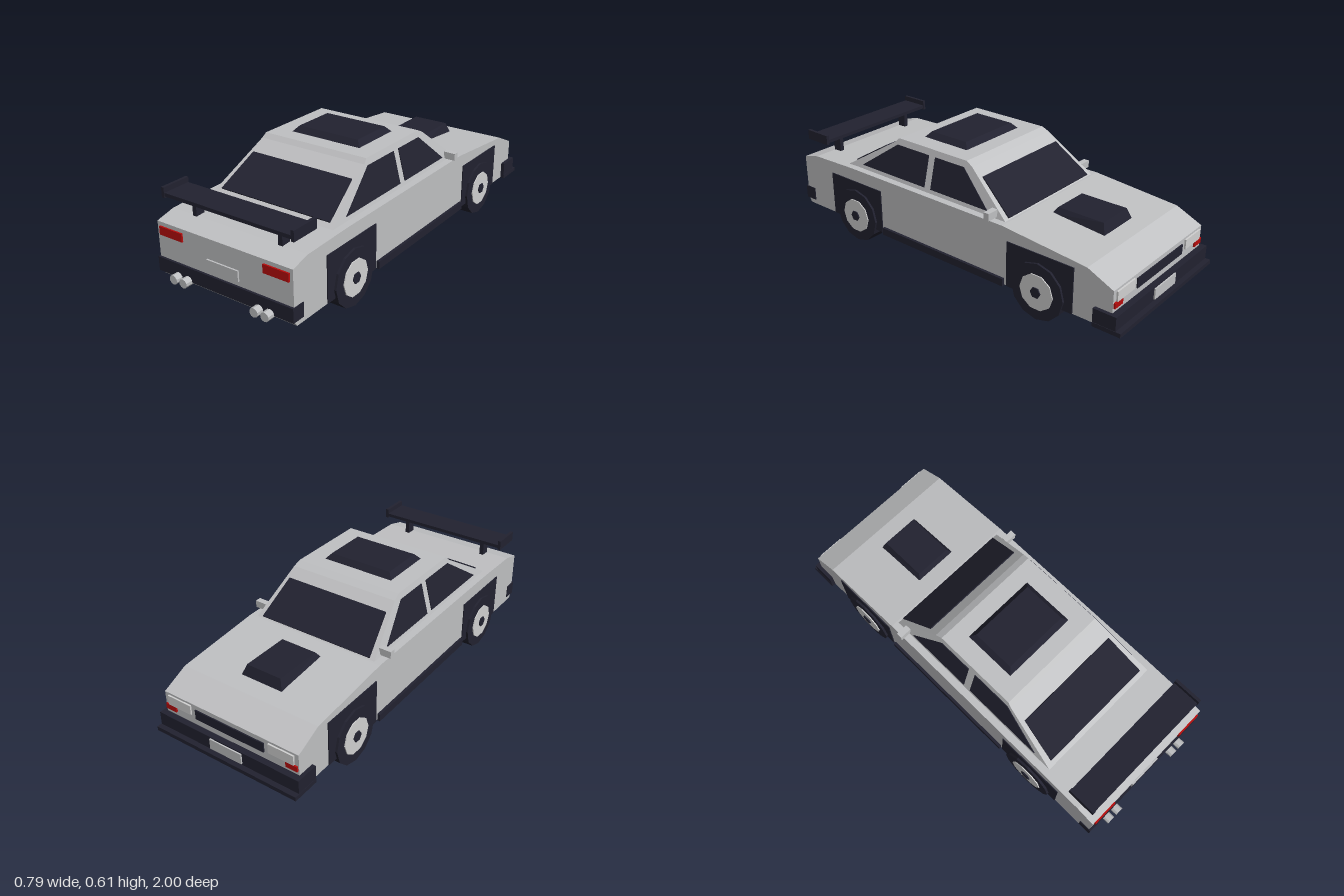
import * as THREE from 'three';

const mat = (name, color) => Object.assign(new THREE.MeshStandardMaterial({ color, flatShading: true }), { name });

export function createModel() {
  const car = new THREE.Group();
  car.name = 'car';
  const silver = mat('silver paint', 0xc0c1c3);
  const dark = mat('dark trim', 0x222230);
  const red = mat('red lamp', 0xb80c0c);
  const pale = mat('pale rim', 0xd2d2d2);

  const add = (name, geo, material) => {
    const m = new THREE.Mesh(geo, material);
    m.name = name;
    car.add(m);
    return m;
  };
  // Box given by its limits on each axis
  const box = (name, material, x0, x1, y0, y1, z0, z1) =>
    add(name, new THREE.BoxGeometry(x1 - x0, y1 - y0, z1 - z0), material)
      .position.set((x0 + x1) / 2, (y0 + y1) / 2, (z0 + z1) / 2);
  const pair = (name, material, x0, x1, ...rest) => {
    box(name, material, x0, x1, ...rest);
    box(name, material, -x1, -x0, ...rest);
  };
  // Side profile of [z, y] points extruded across x; halfWidth may vary with height
  const profile = (name, material, pts, halfWidth) => {
    const shape = new THREE.Shape(pts.map(p => new THREE.Vector2(...p)));
    const geo = new THREE.ExtrudeGeometry(shape, { depth: 2, bevelEnabled: false });
    geo.translate(0, 0, -1).rotateY(-Math.PI / 2);
    const p = geo.attributes.position;
    for (let i = 0; i < p.count; i++) p.setX(i, Math.sign(p.getX(i)) * halfWidth(p.getY(i)));
    geo.computeVertexNormals();
    return add(name, geo, material);
  };
  // Thin plate: four corners, counter-clockwise from outside, raised along their normal
  const plate = (name, material, corners, t = 0.006) => {
    const v = corners.map(c => new THREE.Vector3(...c));
    const n = v[1].clone().sub(v[0]).cross(v[2].clone().sub(v[0])).normalize();
    const pts = [...v.map(c => c.clone().addScaledVector(n, -0.002)), ...v.map(c => c.clone().addScaledVector(n, t))];
    const quads = [[4, 5, 6, 7], [3, 2, 1, 0]];
    for (let i = 0; i < 4; i++) quads.push([i, (i + 1) % 4, 4 + (i + 1) % 4, 4 + i]);
    const tris = quads.flatMap(([a, b, c, d]) => [a, b, c, a, c, d]).map(i => pts[i]);
    const geo = new THREE.BufferGeometry().setFromPoints(tris);
    geo.computeVertexNormals();
    add(name, geo, material);
  };

  // Body shell and cabin
  profile('body', silver, [
    [-0.945, 0.095], [0.94, 0.092], [0.955, 0.115], [0.955, 0.352], [0.86, 0.376],
    [0.6, 0.383], [-0.37, 0.383], [-0.815, 0.342], [-0.945, 0.282],
  ], () => 0.37);
  const cabinHalf = y => 0.335 - (y - 0.38) * 0.26;
  profile('cabin', silver, [
    [-0.37, 0.375], [0.66, 0.375], [0.355, 0.562], [0.333, 0.583], [-0.095, 0.583], [-0.13, 0.565],
  ], cabinHalf);

  // Front and rear glass
  plate('windshield', dark, [[0.305, 0.387, -0.355], [-0.305, 0.387, -0.355], [-0.275, 0.525, -0.18], [0.275, 0.525, -0.18]]);
  plate('rearWindow', dark, [[-0.302, 0.397, 0.625], [0.302, 0.397, 0.625], [0.277, 0.516, 0.43], [-0.277, 0.516, 0.43]]);

  // Side windows, [z, y] corners
  const sideWindows = [
    [[0.55, 0.402], [0.13, 0.402], [0.13, 0.552], [0.335, 0.552]],
    [[0.09, 0.402], [-0.255, 0.402], [-0.085, 0.552], [0.09, 0.552]],
  ];
  for (const w of sideWindows) {
    const corners = w.map(([z, y]) => [cabinHalf(y), y, z]);
    plate('sideWindow', dark, corners, 0.004);
    plate('sideWindow', dark, corners.map(([x, y, z]) => [-x, y, z]).reverse(), 0.004);
  }

  // Scoops on roof and hood: boxes with narrowed tops
  const scoop = (name, hx, y0, y1, z0, z1, inset, slope) => {
    const geo = new THREE.BoxGeometry(hx * 2, y1 - y0, z1 - z0);
    geo.translate(0, (y0 + y1) / 2, (z0 + z1) / 2);
    const p = geo.attributes.position, mid = (z0 + z1) / 2;
    for (let i = 0; i < p.count; i++) {
      const front = p.getZ(i) < mid;
      if (p.getY(i) > (y0 + y1) / 2) {
        p.setX(i, p.getX(i) - Math.sign(p.getX(i)) * inset);
        p.setZ(i, p.getZ(i) + (front ? inset : -inset));
      } else if (front) p.setY(i, y0 - slope);
    }
    geo.computeVertexNormals();
    add(name, geo, dark);
  };
  scoop('roofScoop', 0.192, 0.58, 0.61, -0.015, 0.255, 0.027, 0);
  scoop('hoodScoop', 0.113, 0.37, 0.4, -0.73, -0.45, 0.02, 0.025);

  // Wheel arch panels, skirts and mirrors
  pair('rearArch', dark, 0.36, 0.375, 0.095, 0.318, 0.388, 0.742);
  pair('frontArch', dark, 0.36, 0.375, 0.095, 0.318, -0.753, -0.4);
  pair('sideSkirt', dark, 0.36, 0.384, 0.09, 0.127, -0.385, 0.376);
  pair('mirror', silver, 0.325, 0.386, 0.39, 0.425, -0.31, -0.28);

  // Wheels
  const disc = (name, material, r, x0, x1, y, z, sides) => {
    const geo = new THREE.CylinderGeometry(r, r, x1 - x0, sides).rotateZ(Math.PI / 2);
    add(name, geo, material).position.set((x0 + x1) / 2, y, z);
  };
  for (const z of [0.563, -0.575]) for (const s of [1, -1]) {
    const wheelDisc = (name, m, r, a, b, n) =>
      disc(name, m, r, Math.min(s * a, s * b), Math.max(s * a, s * b), 0.138, z, n);
    wheelDisc('tyre', dark, 0.138, 0.288, 0.386, 12);
    wheelDisc('rim', pale, 0.088, 0.285, 0.391, 10);
    wheelDisc('hubCap', dark, 0.027, 0.38, 0.397, 6);
  }

  // Nose: bumper, splitter, grille, lamps and plate
  box('frontBumper', dark, -0.38, 0.38, 0.1, 0.178, -0.975, -0.9);
  pair('frontBumperEnd', dark, 0.36, 0.388, 0.1, 0.178, -0.975, -0.862);
  box('splitter', dark, -0.39, 0.39, 0.092, 0.112, -1, -0.862);
  box('frontPlate', silver, -0.088, 0.088, 0.12, 0.172, -0.982, -0.974);
  box('grille', dark, -0.19, 0.19, 0.212, 0.26, -0.951, -0.944);
  pair('headlight', pale, 0.215, 0.348, 0.224, 0.272, -0.953, -0.944);
  pair('frontMarker', red, 0.305, 0.365, 0.198, 0.224, -0.953, -0.944);

  // Tail: bumper, lamps, plate and exhausts
  box('rearBumper', dark, -0.374, 0.374, 0.116, 0.183, 0.9, 0.966);
  pair('tailLight', red, 0.222, 0.354, 0.293, 0.333, 0.954, 0.963);
  box('rearPlate', silver, -0.087, 0.087, 0.206, 0.256, 0.954, 0.963);
  for (const x of [-0.255, -0.198, 0.196, 0.253]) {
    const geo = new THREE.CylinderGeometry(0.022, 0.022, 0.08, 10).rotateX(Math.PI / 2);
    add('exhaust', geo, silver).position.set(x, 0.12, 0.96);
  }

  // Rear wing
  box('wing', dark, -0.345, 0.345, 0.46, 0.477, 0.786, 0.925);
  pair('wingEndPlate', dark, 0.343, 0.358, 0.453, 0.502, 0.784, 0.928);
  pair('wingPost', dark, 0.224, 0.246, 0.37, 0.462, 0.818, 0.865);

  return car;
}
